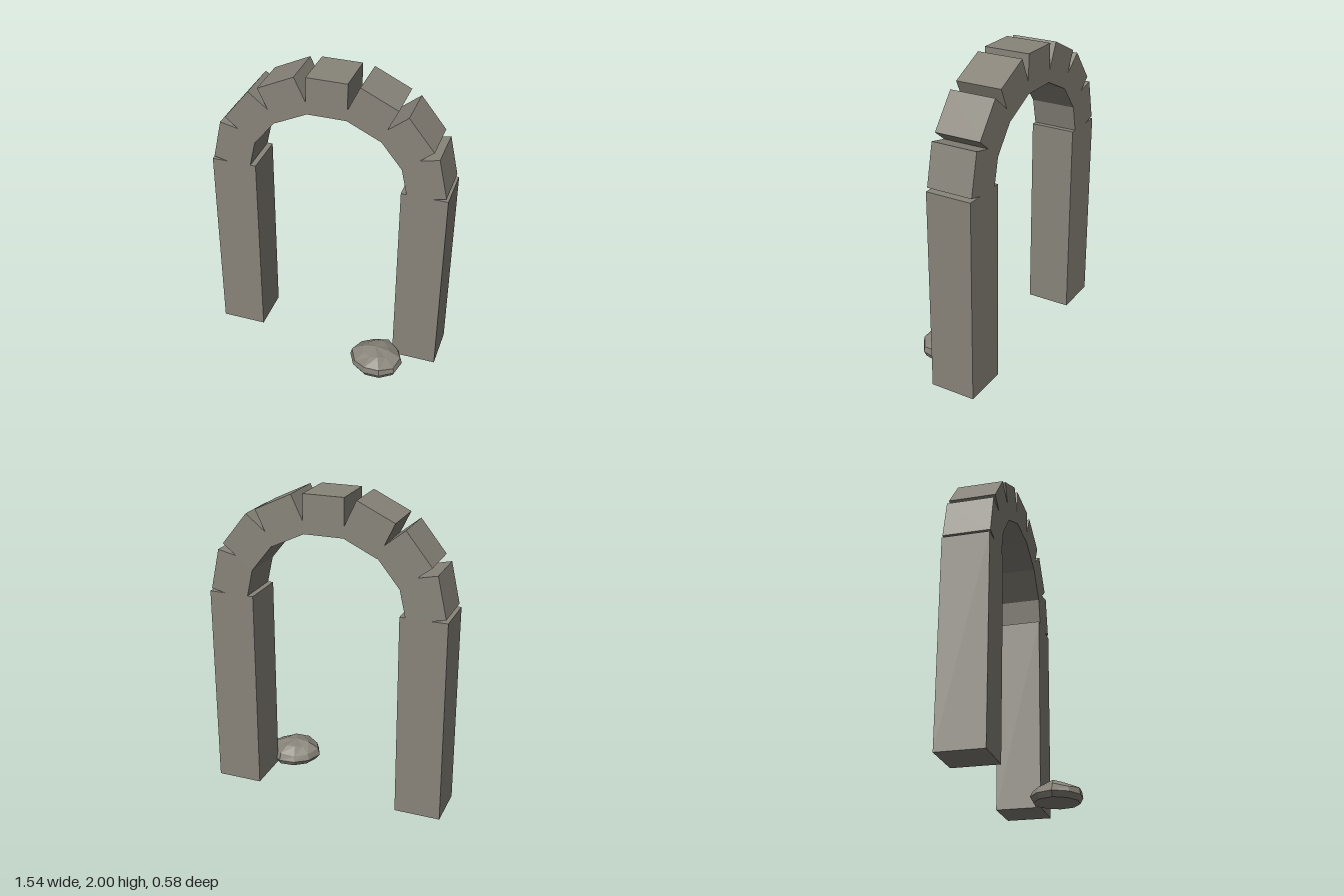
import * as THREE from 'three';

const stone = new THREE.MeshStandardMaterial({ color: 0x88847a, flatShading: true });
stone.name = 'grey stone';

const DEPTH = 0.295;      // arch runs from z = -DEPTH to z = 0
const THICK = 0.245;      // radial thickness of the arch blocks

function block(name, w, h, x, y, tilt = 0) {
  const mesh = new THREE.Mesh(new THREE.BoxGeometry(w, h, DEPTH), stone);
  mesh.name = name;
  mesh.position.set(x, y, -DEPTH / 2);
  mesh.rotation.z = tilt;
  return mesh;
}

// Boulder: ten-sided rings stacked up to a low peak
function boulder() {
  const outline = [0.175, 0.18, 0.173, 0.17, 0.172, 0.184, 0.172, 0.168, 0.172, 0.164];
  const n = outline.length;
  // y, radius scale, centre x, centre z
  const rings = [[0, 0.88, 0.405, 0.12], [0.035, 1, 0.4, 0.12], [0.075, 0.93, 0.4, 0.125], [0.115, 0.52, 0.395, 0.118]];
  const point = (i, j) => {
    const [y, s, cx, cz] = rings[i];
    const k = j % n, a = (k / n) * Math.PI * 2 - 0.05;
    const bump = i > 1 ? 0.008 * Math.sin(k * 2.3 + i) : 0;
    return [cx + outline[k] * s * Math.cos(a), y + bump, cz + outline[k] * s * Math.sin(a)];
  };
  const pos = [];
  const bottom = [0.405, 0, 0.12], peak = [0.385, 0.137, 0.115];
  for (let j = 0; j < n; j++) {
    pos.push(...bottom, ...point(0, j), ...point(0, j + 1));
    for (let i = 0; i < rings.length - 1; i++) {
      const a = point(i, j), b = point(i, j + 1), c = point(i + 1, j), d = point(i + 1, j + 1);
      pos.push(...a, ...c, ...b, ...b, ...c, ...d);
    }
    pos.push(...peak, ...point(rings.length - 1, j + 1), ...point(rings.length - 1, j));
  }
  const geo = new THREE.BufferGeometry();
  geo.setAttribute('position', new THREE.Float32BufferAttribute(pos, 3));
  geo.computeVertexNormals();
  const mesh = new THREE.Mesh(geo, stone);
  mesh.name = 'boulder';
  return mesh;
}

export function createModel() {
  const group = new THREE.Group();
  group.name = 'stoneArch';

  // Keystone
  group.add(block('keystone', 0.26, 0.243, 0, 1.8785));

  // Outer edge of each arch block on the +x side: start x, y and end x, y
  const edges = [
    [0.205, 1.99, 0.44, 1.878],
    [0.502, 1.845, 0.665, 1.642],
    [0.7, 1.6, 0.758, 1.34],
  ];
  for (const side of [1, -1]) {
    const label = side > 0 ? 'left' : 'right';
    group.add(block(label + 'Pillar', 0.295, 1.32, side * 0.6235, 0.66));
    edges.forEach(([x0, y0, x1, y1], i) => {
      const dx = x1 - x0, dy = y1 - y0, len = Math.hypot(dx, dy);
      // Step inwards from the middle of the outer edge
      const x = (x0 + x1) / 2 + (dy / len) * THICK / 2;
      const y = (y0 + y1) / 2 - (dx / len) * THICK / 2;
      group.add(block(label + 'ArchBlock' + (i + 1), len, THICK, side * x, y, side * Math.atan2(dy, dx)));
    });
  }

  group.add(boulder());
  return group;
}
